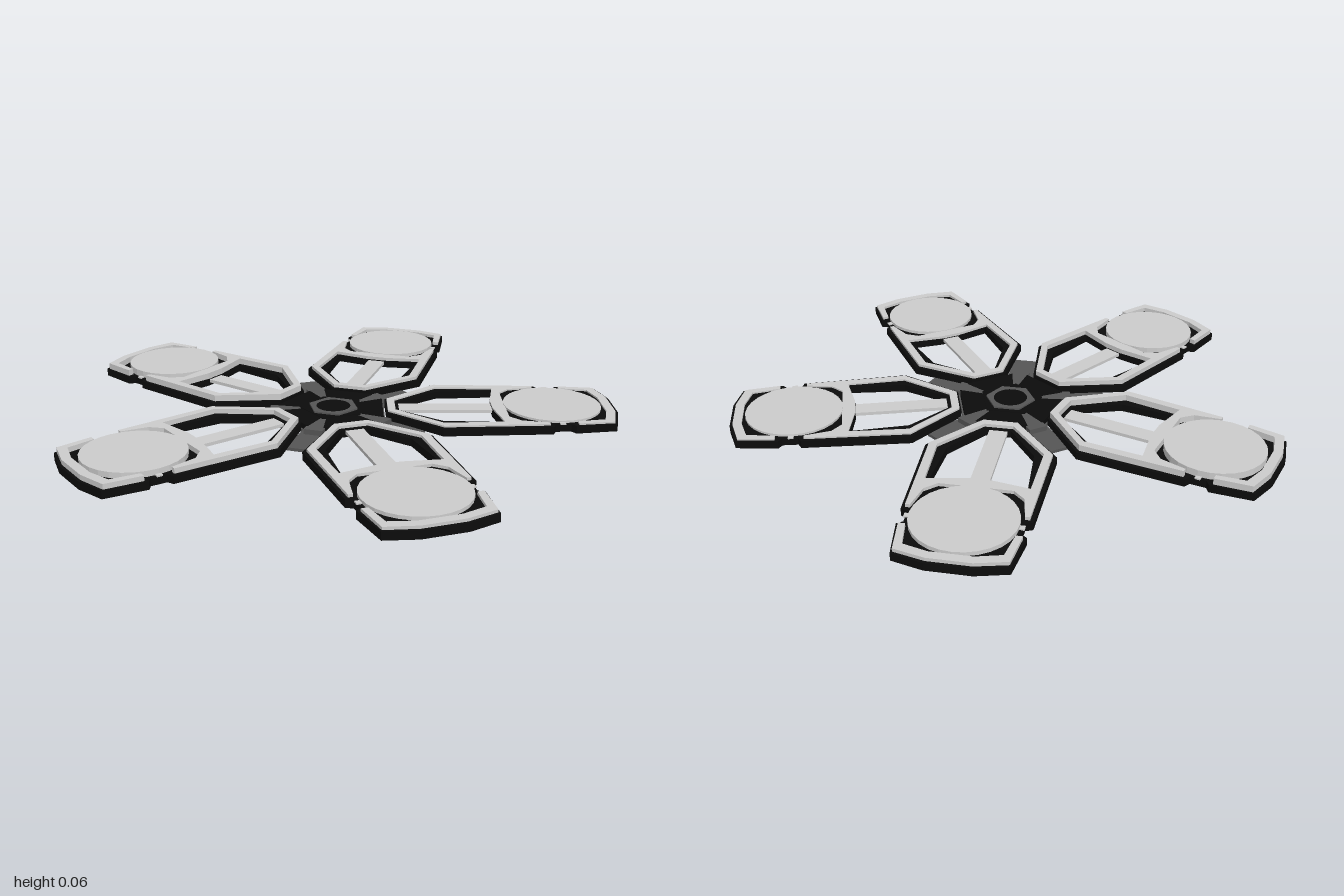
import * as THREE from 'three';

const material = (color) => new THREE.MeshStandardMaterial({ color, flatShading: true });
const grey = material(0xcccccc);
const dark = material(0x555555);
const black = material(0x0c0c0c);

// Mirrors the right half of an outline (u across, r outward) to its left side.
function mirrored(half) {
  return [...half, ...half.map(([u, r]) => [-u, r]).reverse()];
}

const toPoints = (list) => list.map(([u, r]) => new THREE.Vector2(u, r));

// Flat plate lying between heights y0 and y1, with r pointing to -z.
function plate(name, outline, y0, y1, mat, holes = []) {
  const shape = new THREE.Shape(toPoints(outline));
  for (const hole of holes) shape.holes.push(new THREE.Path(toPoints(hole)));
  const geo = new THREE.ExtrudeGeometry(shape, { depth: y1 - y0, bevelEnabled: false, curveSegments: 1 });
  geo.rotateX(-Math.PI / 2);
  geo.translate(0, y0, 0);
  const mesh = new THREE.Mesh(geo, mat);
  mesh.name = name;
  return mesh;
}

function disc(name, radius, y0, y1, sides, mat) {
  const mesh = new THREE.Mesh(new THREE.CylinderGeometry(radius, radius, y1 - y0, sides), mat);
  mesh.name = name;
  mesh.position.y = (y0 + y1) / 2;
  return mesh;
}

// Regular polygon outline with a corner on the r axis when turn is 0.
function polygon(sides, radius, turn = 0) {
  return Array.from({ length: sides }, (_, i) => {
    const a = turn + (i * 2 * Math.PI) / sides;
    return [radius * Math.sin(a), radius * Math.cos(a)];
  });
}

const baseOutline = mirrored([
  [0.07, 0.19], [0.23, 0.38], [0.212, 0.765], [0.188, 0.775],
  [0.185, 0.83], [0.205, 0.845], [0.183, 0.992], [0.075, 1.02],
]);
const baseHole = mirrored([[0.045, 0.237], [0.152, 0.385], [0.165, 0.595], [0.04, 0.575]]);
const frameOutline = mirrored([
  [0.062, 0.196], [0.216, 0.383], [0.2, 0.755], [0.184, 0.755], [0.165, 0.66], [0.125, 0.622],
]);
const frameHole = mirrored([[0.052, 0.224], [0.186, 0.387], [0.176, 0.6], [0.04, 0.575]]);
const capOutline = [
  [0.172, 0.855], [0.195, 0.855], [0.178, 0.984], [0.072, 1.01],
  [-0.072, 1.01], [-0.178, 0.984], [-0.195, 0.855], [-0.172, 0.855],
  [-0.155, 0.955], [-0.07, 0.978], [0.07, 0.978], [0.155, 0.955],
];
const strip = (halfWidth, r0, r1) => mirrored([[halfWidth, r0], [halfWidth, r1]]);

function arm(top) {
  const group = new THREE.Group();
  group.name = 'arm';
  const pad = disc('roundPad', 0.176, 0.035, top, 28, grey);
  pad.position.z = -0.795;
  group.add(
    plate('armBase', baseOutline, 0.01, 0.038, black, [baseHole]),
    plate('armFrame', frameOutline, 0.037, top - 0.002, grey, [frameHole]),
    plate('endCap', capOutline, 0.037, top - 0.002, grey),
    plate('sideTabs', strip(0.192, 0.79, 0.81), 0.037, 0.042, grey),
    plate('spoke', strip(0.033, 0.2, 0.6), 0.022, 0.034, grey),
    pad,
  );
  return group;
}

export function createModel() {
  const model = new THREE.Group();
  model.name = 'fiveArmRing';
  const body = new THREE.Group();
  body.name = 'body';
  body.position.z = 0.05;
  model.add(body);

  // Arms, from the back one round to the right; their tops step in height.
  const tops = [0.052, 0.063, 0.058, 0.05, 0.046];
  tops.forEach((top, i) => {
    const turn = (i * 2 * Math.PI) / 5;
    const a = arm(top);
    a.rotation.y = turn;

    // Hub wedge facing this arm
    const wedge = plate('hubWedge', mirrored([[0.05, 0.08], [0.095, 0.18]]), 0.008, 0.032, black);
    wedge.rotation.y = turn;

    // Fin and raised ridge in the gap beside this arm
    const fin = plate('hubFin', strip(0.05, 0.1, 0.36), 0, 0.011, dark);
    const ridge = plate('hubRidge', strip(0.034, 0.08, 0.23), 0.005, 0.03, dark);
    fin.rotation.y = ridge.rotation.y = turn + Math.PI / 5;
    body.add(a, wedge, fin, ridge);
  });

  // Hub
  body.add(
    plate('hubPlate', polygon(5, 0.23, Math.PI / 5), 0.001, 0.012, dark),
    plate('hubCore', polygon(5, 0.12, Math.PI / 5), 0.01, 0.034, black),
    plate('hubCollar', polygon(6, 0.092, Math.PI / 6), 0.03, 0.04, dark, [polygon(24, 0.062)]),
    disc('hubCentre', 0.062, 0.03, 0.036, 24, black),
  );
  return model;
}
